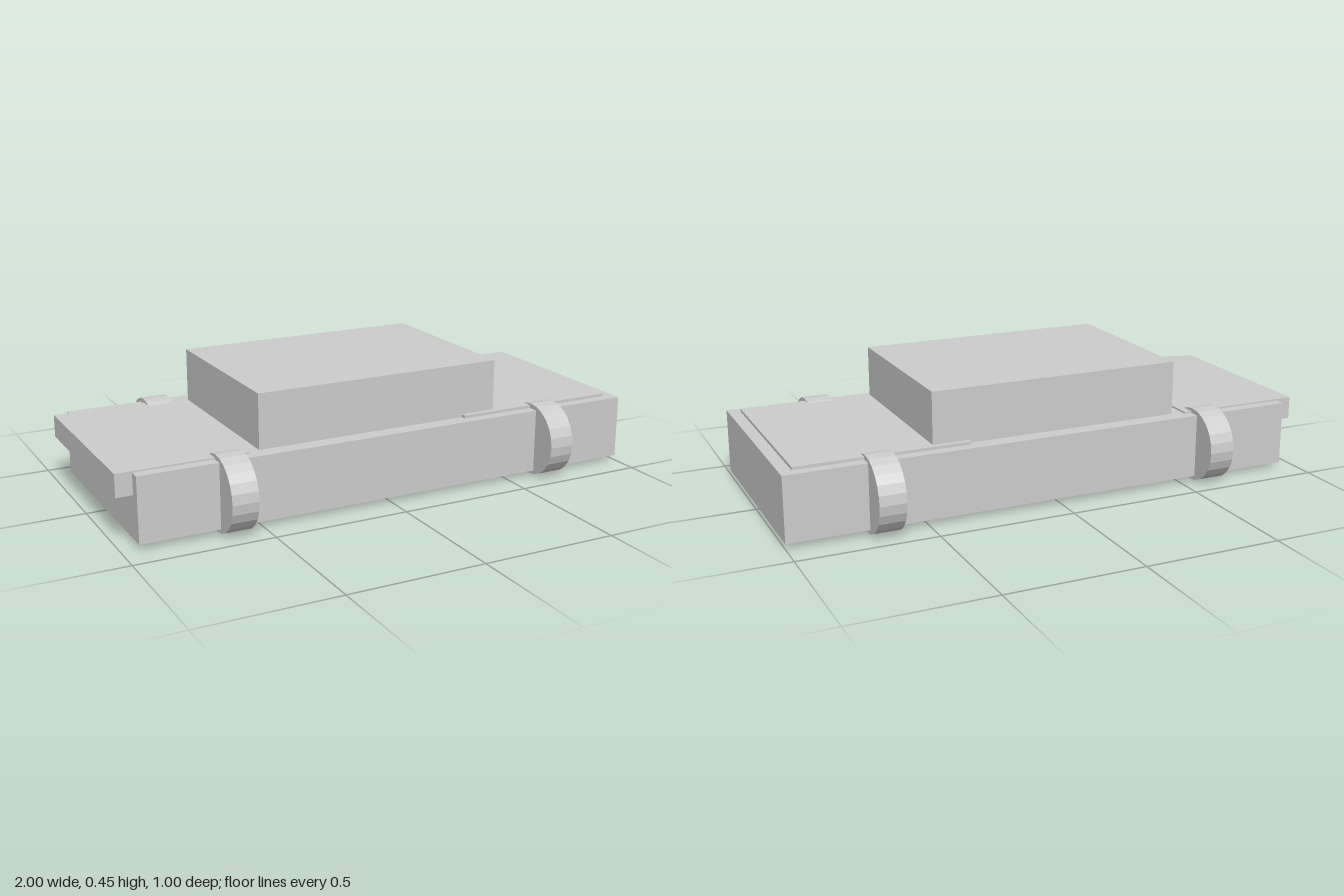
import * as THREE from 'three';

const material = new THREE.MeshStandardMaterial({ color: 0xcccccc, flatShading: true });

// Box given by its extents in x and y, and its half width in z
function slab(name, x0, x1, y0, y1, halfZ) {
  const mesh = new THREE.Mesh(new THREE.BoxGeometry(x1 - x0, y1 - y0, halfZ * 2), material);
  mesh.position.set((x0 + x1) / 2, (y0 + y1) / 2, 0);
  mesh.name = name;
  return mesh;
}

export function createModel() {
  const car = new THREE.Group();
  car.name = 'car';

  // Body panels, nose towards +x
  car.add(
    slab('body', -0.94, 1, 0.019, 0.255, 0.395),
    slab('cabin', -0.485, 0.46, 0.24, 0.454, 0.336),
    slab('hood', 0.325, 0.956, 0.2, 0.266, 0.356),
    slab('trunk', -1, -0.53, 0.178, 0.261, 0.356)
  );

  // Four wheels, axles along x, partly sunk into the body sides
  const radius = 0.137;
  const wheelGeometry = new THREE.CylinderGeometry(radius, radius, 0.096, 24);
  wheelGeometry.rotateZ(Math.PI / 2);
  for (const [end, x] of [['rear', -0.606], ['front', 0.662]]) {
    for (const side of [-1, 1]) {
      const wheel = new THREE.Mesh(wheelGeometry, material);
      wheel.name = end + (side > 0 ? 'RightWheel' : 'LeftWheel');
      wheel.position.set(x, radius, side * (0.5 - radius));
      car.add(wheel);
    }
  }
  return car;
}
